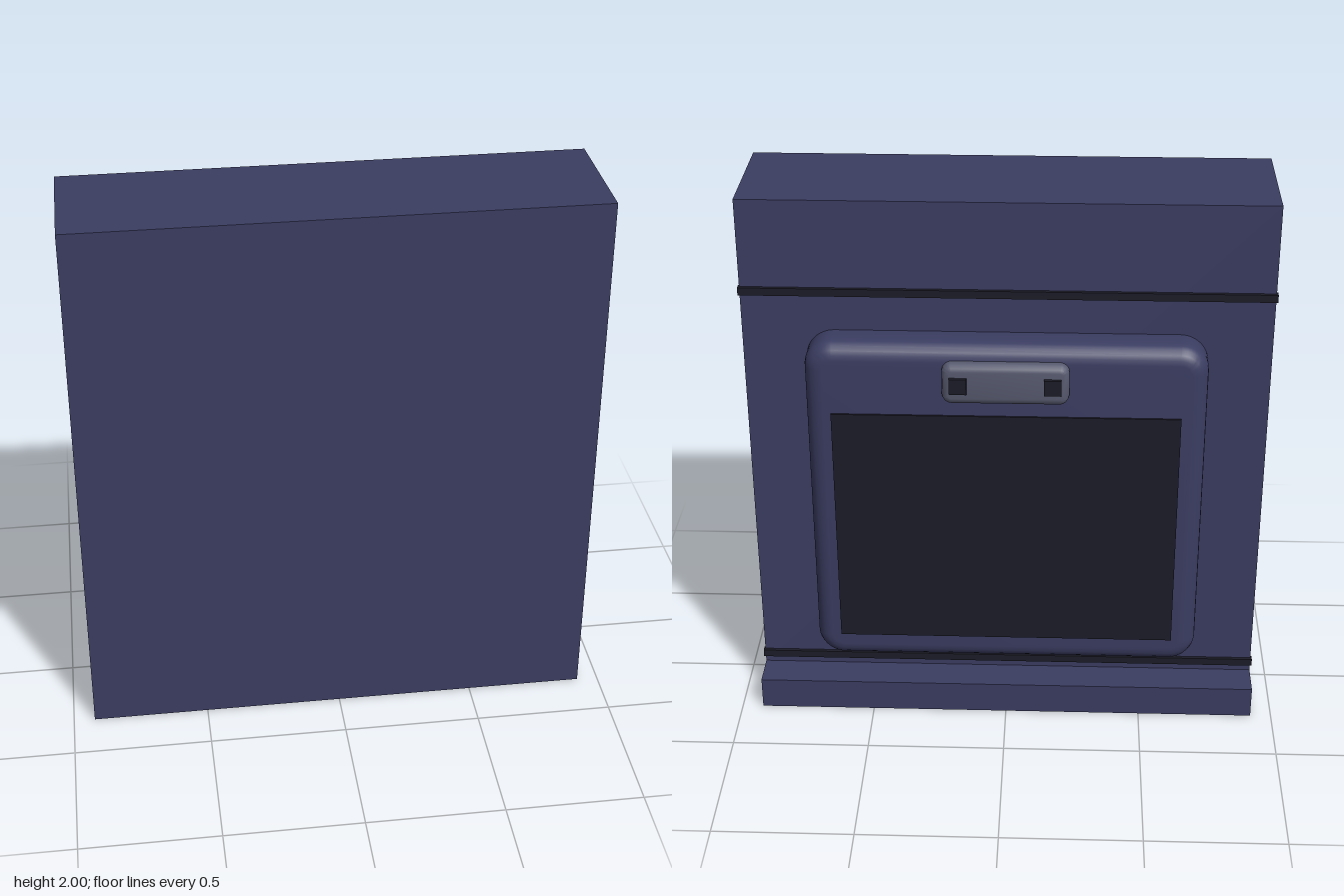
import * as THREE from 'three';
import { toCreasedNormals } from 'three/addons/utils/BufferGeometryUtils.js';

const mat = (color) => new THREE.MeshStandardMaterial({ color });
const navy = mat(0x3b3d62), black = mat(0x1c1c28), grey = mat(0x585b70);
const HALF_W = 0.923;

// Rounded plate facing -z with a soft bevel; its back sits at zBack
function roundedPlate(w, h, corner, zBack, zFace, bevel, bevelDepth, segments) {
  const x = w / 2 - bevel, y = h / 2 - bevel, r = corner - bevel;
  const s = new THREE.Shape();
  s.absarc(x - r, y - r, r, 0, Math.PI / 2);
  s.absarc(-x + r, y - r, r, Math.PI / 2, Math.PI);
  s.absarc(-x + r, -y + r, r, Math.PI, Math.PI * 1.5);
  s.absarc(x - r, -y + r, r, Math.PI * 1.5, Math.PI * 2);
  const geo = new THREE.ExtrudeGeometry(s, {
    depth: zBack - zFace - bevelDepth, bevelEnabled: true, bevelSize: bevel,
    bevelThickness: bevelDepth, bevelSegments: segments, curveSegments: 6,
  });
  geo.rotateY(Math.PI);
  geo.translate(0, 0, zBack);
  return toCreasedNormals(geo, 0.6);
}

export function createModel() {
  const group = new THREE.Group();
  const add = (name, geo, material, x = 0, y = 0, z = 0) => {
    const mesh = new THREE.Mesh(geo, material);
    mesh.name = name;
    mesh.position.set(x, y, z);
    group.add(mesh);
  };
  const box = (name, material, w, h, x, y, z0, z1) =>
    add(name, new THREE.BoxGeometry(w, h, z1 - z0), material, x, y, (z0 + z1) / 2);

  // Slab with a ledge along the bottom of its back
  const profile = new THREE.Shape([
    [0.32, 0], [0.32, 2], [-0.14, 2], [-0.14, 0.12], [-0.268, 0.12], [-0.268, 0],
  ].map(([z, y]) => new THREE.Vector2(z, y)));
  const slab = new THREE.ExtrudeGeometry(profile, { depth: HALF_W * 2, bevelEnabled: false });
  slab.rotateY(-Math.PI / 2);
  slab.translate(HALF_W, 0, 0);
  add('body', slab, navy);

  // Seam strips across the back
  for (const [name, y] of [['upperStrip', 1.667], ['lowerStrip', 0.162]])
    box(name, black, HALF_W * 2 + 0.01, 0.028, 0, y, -0.153, -0.13);

  // Raised rounded pocket and its dark inset
  add('pocket', roundedPlate(1.4, 1.29, 0.1, -0.14, -0.268, 0.06, 0.06, 5), navy, 0, 0.877);
  box('pocketInset', black, 1.22, 0.92, 0, 0.8, -0.275, -0.25);

  // Clasp plate with two studs
  add('clasp', roundedPlate(0.44, 0.15, 0.035, -0.262, -0.307, 0.024, 0.024, 3), grey, 0, 1.395);
  for (const side of [-1, 1])
    box(side > 0 ? 'leftStud' : 'rightStud', black, 0.06, 0.058, side * 0.163, 1.395, -0.32, -0.3);

  return group;
}
